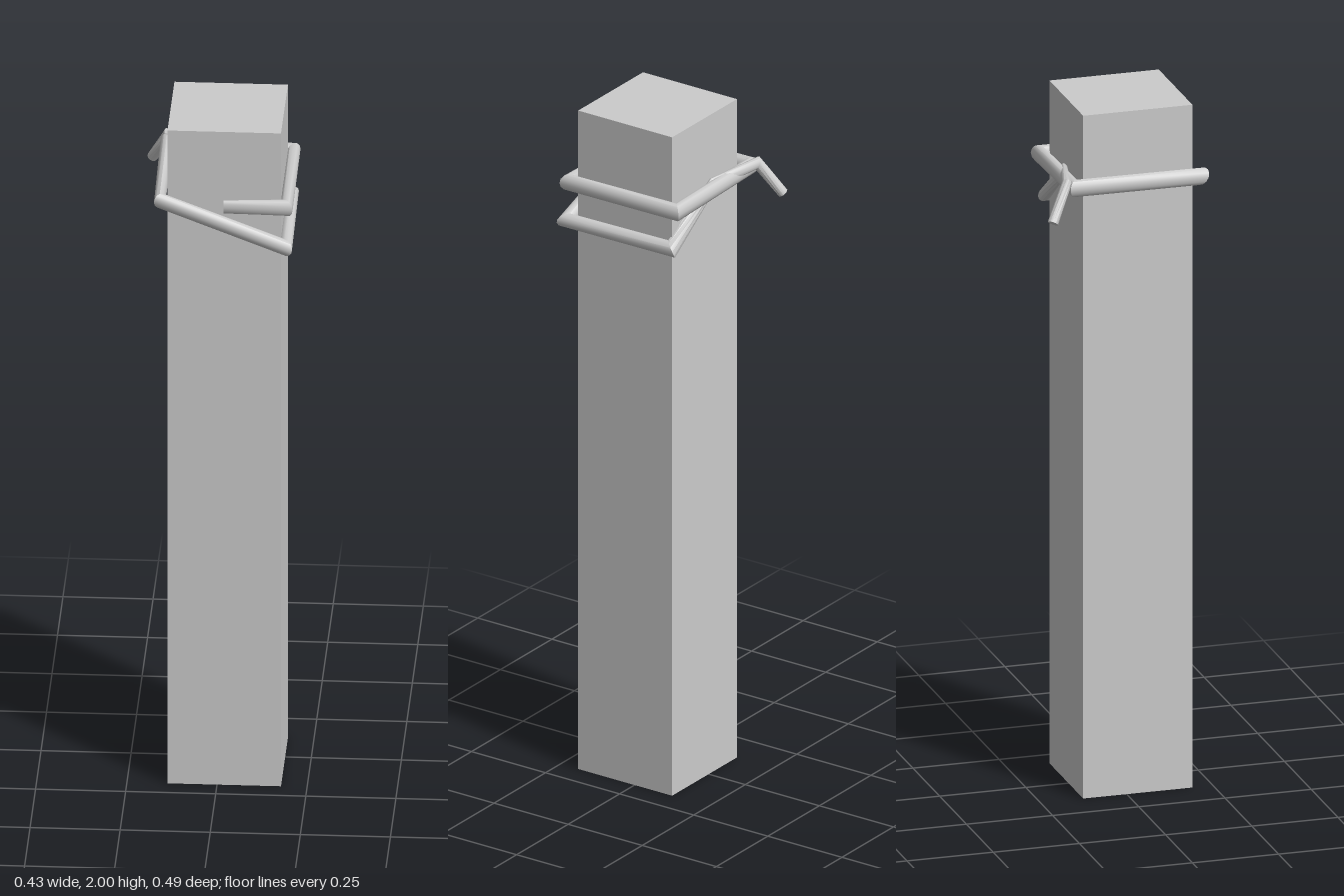
import * as THREE from 'three';
import { toCreasedNormals } from 'three/addons/utils/BufferGeometryUtils.js';

// Sweeps an elliptical section along straight runs with mitred corners.
// Each station is [x, y, z, half width, half height].
function mitredRope(stations, sides = 12) {
  const pts = stations.map(([x, y, z]) => new THREE.Vector3(x, y, z));
  const dirs = pts.slice(1).map((p, i) => p.clone().sub(pts[i]).normalize());
  const up = new THREE.Vector3(0, 1, 0);
  const pos = [], index = [];
  const last = pts.length - 1;

  pts.forEach((p, i) => {
    const dIn = dirs[Math.max(i - 1, 0)], dOut = dirs[Math.min(i, last - 1)];
    const miter = dIn.clone().add(dOut).normalize();
    const side = dIn.clone().cross(up).normalize();
    const rise = side.clone().cross(dIn);
    const [, , , w, h] = stations[i];
    for (let k = 0; k < sides; k++) {
      const a = (k / sides) * Math.PI * 2;
      const o = side.clone().multiplyScalar(w * Math.cos(a)).addScaledVector(rise, h * Math.sin(a));
      o.addScaledVector(dIn, -o.dot(miter) / dIn.dot(miter));
      pos.push(...o.add(p).toArray());
    }
  });
  pos.push(...pts[0].toArray(), ...pts[last].toArray());

  const c0 = pts.length * sides, c1 = c0 + 1;
  for (let k = 0; k < sides; k++) {
    const n = (k + 1) % sides;
    for (let i = 0; i < last; i++) {
      const a = i * sides, b = a + sides;
      index.push(a + k, b + k, a + n, a + n, b + k, b + n);
    }
    index.push(c0, k, n, c1, last * sides + n, last * sides + k);
  }
  const geo = new THREE.BufferGeometry();
  geo.setAttribute('position', new THREE.Float32BufferAttribute(pos, 3));
  geo.setIndex(index);
  return toCreasedNormals(geo, 0.7);
}

export function createModel() {
  const group = new THREE.Group();
  const material = new THREE.MeshStandardMaterial({ color: 0xcccccc, side: THREE.DoubleSide });

  // Square post, open underneath
  const box = new THREE.BoxGeometry(0.315, 2, 0.317);
  const faces = Array.from(box.index.array);
  faces.splice(18, 6);
  box.setIndex(faces);
  box.clearGroups();
  const post = new THREE.Mesh(box, material);
  post.name = 'post';
  post.position.set(0.02, 1, 0.032);
  group.add(post);

  // Rope wound once and a half around the post, its tail hooked over the upper turn
  const rope = new THREE.Mesh(mitredRope([
    [0.02, 1.783, 0.217, 0.008, 0.02],
    [0.194, 1.783, 0.212, 0.018, 0.024],
    [0.191, 1.784, -0.152, 0.019, 0.025],
    [-0.161, 1.798, -0.157, 0.018, 0.025],
    [-0.157, 1.795, 0.212, 0.016, 0.025],
    [0.191, 1.665, 0.22, 0.02, 0.022],
    [0.189, 1.667, -0.133, 0.018, 0.022],
    [0.0, 1.797, -0.14, 0.012, 0.019],
    [-0.158, 1.813, -0.181, 0.014, 0.016],
    [-0.205, 1.718, -0.235, 0.015, 0.015],
  ]), material);
  rope.name = 'rope';
  group.add(rope);

  return group;
}
